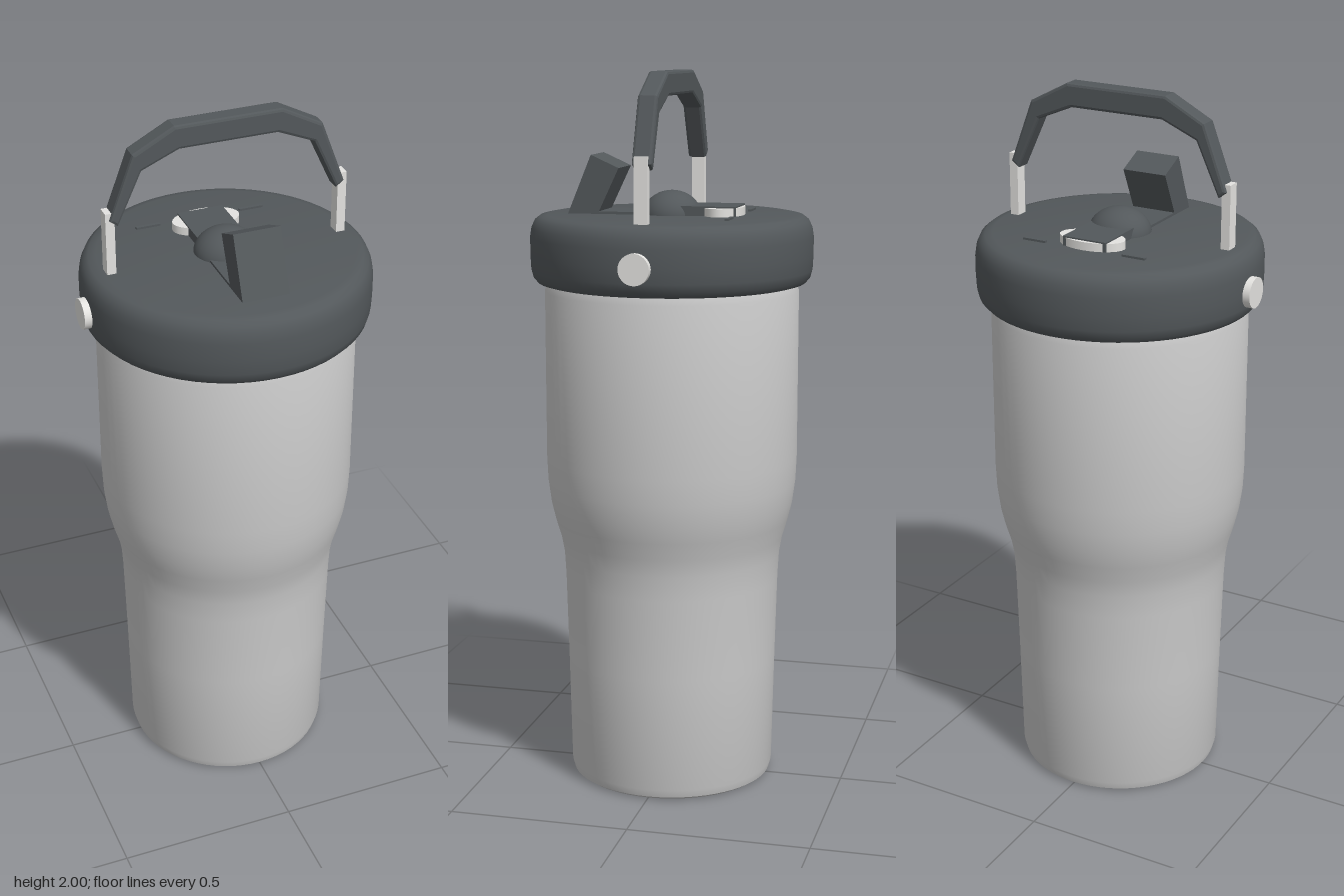
import * as THREE from 'three';
import { toCreasedNormals } from 'three/addons/utils/BufferGeometryUtils.js';

const material = (name, color) => {
  const m = new THREE.MeshStandardMaterial({ color });
  m.name = name;
  return m;
};

export function createModel() {
  const steel = material('brushed steel', 0xc9c9c9);
  const charcoal = material('charcoal plastic', 0x53585b);
  const pale = material('pale fittings', 0xe4e3e0);
  const group = new THREE.Group();

  const add = (name, geometry, mat, x = 0, y = 0, z = 0) => {
    const mesh = new THREE.Mesh(geometry, mat);
    mesh.name = name;
    mesh.position.set(x, y, z);
    group.add(mesh);
    return mesh;
  };
  const lathe = (points) => toCreasedNormals(
    new THREE.LatheGeometry(points.map(([r, y]) => new THREE.Vector2(r, y)), 64), 0.7);

  // Tumbler body: narrow base, shoulder, wide upper half
  add('body', lathe([
    [0, 0], [0.272, 0], [0.284, 0.008], [0.29, 0.03], [0.297, 0.35], [0.303, 0.58],
    [0.307, 0.65], [0.316, 0.7], [0.331, 0.75], [0.343, 0.8], [0.351, 0.86],
    [0.354, 0.93], [0.354, 1.4], [0.345, 1.425], [0, 1.43],
  ]), steel);

  // Lid with rounded rim
  add('lid', lathe([
    [0, 1.42], [0.355, 1.42], [0.373, 1.425], [0.385, 1.438], [0.391, 1.46], [0.393, 1.5],
    [0.393, 1.55], [0.389, 1.575], [0.38, 1.595], [0.366, 1.606], [0.345, 1.61], [0, 1.611],
  ]), charcoal);

  // Faceted carrying handle
  const outer = [[0.328, 1.765], [0.262, 1.94], [0.148, 2]];
  const inner = [[0.136, 1.935], [0.238, 1.892], [0.305, 1.748]];
  const half = [...outer.slice().reverse(), ...inner.slice().reverse()];
  const outline = [...half, ...half.slice().reverse().map(([x, y]) => [-x, y])];
  const bevel = 0.008;
  const handle = new THREE.ExtrudeGeometry(
    new THREE.Shape(outline.map(([x, y]) => new THREE.Vector2(x, y))),
    { depth: 0.055 - 2 * bevel, bevelEnabled: true, bevelThickness: bevel,
      bevelSize: bevel, bevelOffset: -bevel, bevelSegments: 2 });
  add('handle', handle, charcoal, 0, 0, -0.0275 + bevel);

  for (const [side, s] of [['left', 1], ['right', -1]]) {
    // Handle posts, pivot buttons and vent slots
    add(side + 'Post', new THREE.BoxGeometry(0.025, 0.19, 0.036), pale, s * 0.325, 1.69, 0);
    add(side + 'Button', new THREE.CylinderGeometry(0.042, 0.042, 0.05, 32), pale, s * 0.386, 1.5, 0)
      .rotation.z = Math.PI / 2;
    add(side + 'Slot', new THREE.BoxGeometry(0.068, 0.008, 0.01), charcoal, s * 0.15, 1.612, -0.195);
  }

  // Straw hinge: dome, oval rest and flat arm
  const dome = add('hingeDome',
    new THREE.SphereGeometry(0.088, 24, 10, 0, Math.PI * 2, 0, Math.PI / 2), charcoal, 0, 1.605, 0);
  dome.scale.set(1, 0.8, 0.93);
  add('strawRest', new THREE.CylinderGeometry(1, 1, 0.03, 32), pale, 0, 1.618, -0.148)
    .scale.set(0.095, 1, 0.056);
  add('rearArm', new THREE.BoxGeometry(0.13, 0.03, 0.19), charcoal, 0, 1.622, -0.098);
  add('frontArm', new THREE.BoxGeometry(0.13, 0.015, 0.21), charcoal, 0, 1.61, 0.105);

  // Leaning drinking spout
  const spout = new THREE.Shape(
    [[0.285, 1.6], [0.2, 1.6], [0.135, 1.737], [0.214, 1.772]].map(([z, y]) => new THREE.Vector2(-z, y)));
  add('spout', new THREE.ExtrudeGeometry(spout, { depth: 0.13, bevelEnabled: false }), charcoal, -0.065)
    .rotation.y = Math.PI / 2;

  return group;
}
